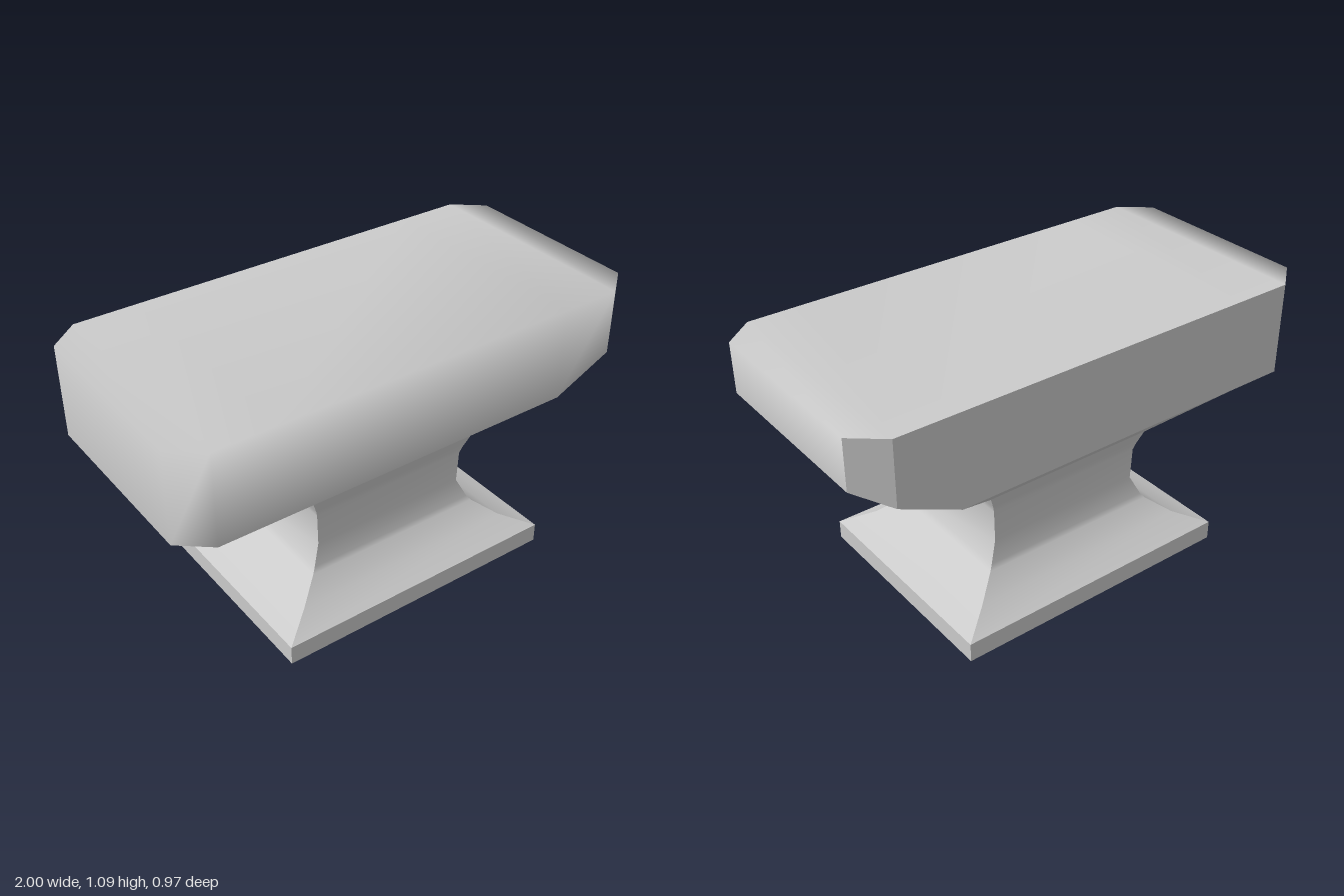
import * as THREE from 'three';

const material = new THREE.MeshStandardMaterial({ color: 0xcccccc });

// Geometry from a grid of points (rows of equal length), plus optional extra faces
function grid(rows, flat = false, extra = []) {
  const n = rows[0].length, index = [];
  for (let r = 0; r < rows.length - 1; r++) {
    for (let c = 0; c < n - 1; c++) {
      const a = r * n + c, b = a + 1, d = a + n, e = d + 1;
      index.push(a, b, e, a, e, d);
    }
  }
  const g = new THREE.BufferGeometry();
  g.setAttribute('position', new THREE.Float32BufferAttribute([...rows, ...extra.map(f => f.points)].flat(2), 3));
  for (const f of extra) index.push(...f.faces);
  g.setIndex(index);
  const out = flat ? g.toNonIndexed() : g;
  out.computeVertexNormals();
  return out;
}

function add(parent, name, geometry) {
  const mesh = new THREE.Mesh(geometry, material);
  mesh.name = name;
  parent.add(mesh);
  return mesh;
}

// Block with clipped corners; its underside rises toward +x
function makeBlock() {
  const block = new THREE.Group();
  block.name = 'topBlock';
  const top = 1.09;
  // x, underside height, half depth
  const columns = [
    [-1, 0.71, 0.385], [-0.88, 0.71, 0.485], [-0.63, 0.71, 0.485],
    [0.63, 0.71, 0.485], [0.88, 0.825, 0.485], [1, 0.885, 0.385],
  ];
  const n = columns.length;
  const frontLow = columns.map(([x, y, z]) => [x, y, z]);
  const frontTop = columns.map(([x, , z]) => [x, top, z]);
  const backTop = columns.map(([x, , z]) => [x, top, -z]);
  const backLow = columns.map(([x, y, z]) => [x, y, -z]);

  // Front, top and both ends share softened normals
  const L = 3 * n, R = L + 1;
  const ends = {
    points: [backLow[0], backLow[n - 1]],
    faces: [
      n - 1, R, 3 * n - 1, n - 1, 3 * n - 1, 2 * n - 1,
      L, 0, n, L, n, 2 * n,
    ],
  };
  add(block, 'frontTopAndEnds', grid([frontLow, frontTop, backTop], false, [ends]));
  add(block, 'backFace', grid([backTop, backLow], true));
  // Underside on either side of the neck
  add(block, 'undersideLevel', grid([backLow.slice(0, 3), frontLow.slice(0, 3)], true));
  add(block, 'undersideSloped', grid([backLow.slice(3), frontLow.slice(3)], true));
  return block;
}

// Four-sided column following a profile of [half width, height, half depth]
function makeColumn(name, profile) {
  const group = new THREE.Group();
  group.name = name;
  const corners = [[-1, 1], [1, 1], [1, -1], [-1, -1]];
  ['Front', 'Right', 'Back', 'Left'].forEach((side, i) => {
    const pair = [corners[i], corners[(i + 1) % 4]];
    const rows = profile.map(([hx, y, hz]) => pair.map(([sx, sz]) => [sx * hx, y, sz * hz]));
    add(group, name + side, grid(rows));
  });
  return group;
}

export function createModel() {
  const model = new THREE.Group();
  model.name = 'pedestalBlock';

  // Base plate
  add(model, 'basePlate', new THREE.BoxGeometry(1.21, 0.08, 0.936)).position.y = 0.04;

  // Curved waist
  model.add(makeColumn('waist', [
    [0.605, 0.08, 0.468], [0.48, 0.135, 0.37], [0.39, 0.205, 0.3], [0.375, 0.225, 0.288],
    [0.338, 0.305, 0.261], [0.343, 0.44, 0.264], [0.352, 0.47, 0.272], [0.375, 0.525, 0.29],
  ]));

  // Flare carrying the block
  model.add(makeColumn('flare', [[0.375, 0.525, 0.29], [0.63, 0.71, 0.485]]));

  model.add(makeBlock());
  return model;
}
